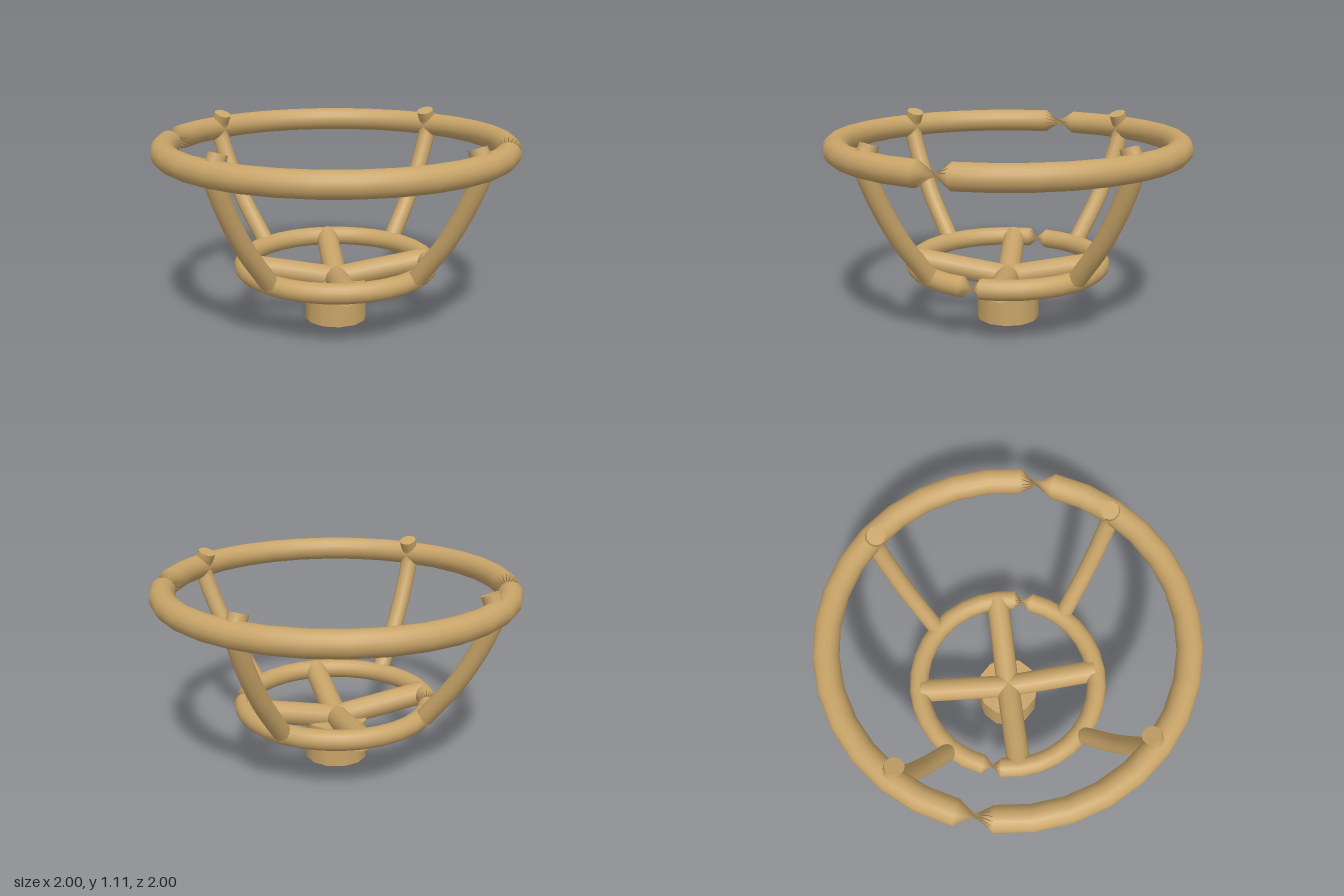
import * as THREE from 'three';

const material = new THREE.MeshStandardMaterial({ color: 0xc8a468, side: THREE.DoubleSide });
const V = (x, y, z) => new THREE.Vector3(x, y, z);

function add(parent, name, geometry) {
  const mesh = new THREE.Mesh(geometry, material);
  mesh.name = name;
  parent.add(mesh);
  return mesh;
}

// Ring of round cross-sections; the section makes a half turn at two opposite
// segments, which pinches the tube there.
function twistedRing(radius, tube, y) {
  const steps = 32, sides = 16;
  const pos = [], nor = [], index = [];
  for (let i = 0; i <= steps; i++) {
    const a = (i / steps) * Math.PI * 2;
    const turn = i >= 18 ? 2 * Math.PI : i >= 2 ? Math.PI : 0;
    for (let j = 0; j <= sides; j++) {
      const b = (j / sides) * Math.PI * 2 + turn;
      const n = V(Math.cos(b) * Math.cos(a), Math.sin(b), Math.cos(b) * Math.sin(a));
      nor.push(n.x, n.y, n.z);
      pos.push(radius * Math.cos(a) + n.x * tube, y + n.y * tube, radius * Math.sin(a) + n.z * tube);
      if (i < steps && j < sides) {
        const p = i * (sides + 1) + j, q = p + sides + 1;
        index.push(p, p + 1, q, p + 1, q + 1, q);
      }
    }
  }
  const g = new THREE.BufferGeometry();
  g.setAttribute('position', new THREE.Float32BufferAttribute(pos, 3));
  g.setAttribute('normal', new THREE.Float32BufferAttribute(nor, 3));
  g.setIndex(index);
  return g;
}

// Closing disc at one end of a strut
function addCap(parent, center, direction, radius) {
  const cap = add(parent, 'strutEnd', new THREE.CircleGeometry(radius, 12));
  cap.position.copy(center);
  cap.quaternion.setFromUnitVectors(V(0, 0, 1), direction);
}

export function createModel() {
  const model = new THREE.Group();
  model.name = 'ringStand';

  // Rings
  add(model, 'upperRing', twistedRing(0.932, 0.068, 1.0));
  add(model, 'lowerRing', twistedRing(0.52, 0.055, 0.33));

  // Hub
  add(model, 'hub', new THREE.CylinderGeometry(0.177, 0.177, 0.23, 12)).position.y = 0.115;

  // Four spokes rising from the hub to the lower ring
  const inner = V(0, 0.235, 0), outer = V(0.52, 0.328, 0);
  const along = outer.clone().sub(inner);
  for (let i = 0; i < 4; i++) {
    const arm = new THREE.Group();
    arm.name = 'spokeArm';
    arm.rotation.y = (i * Math.PI) / 2;
    const spoke = add(arm, 'spoke', new THREE.CylinderGeometry(0.066, 0.066, along.length(), 12));
    spoke.position.copy(inner).add(outer).multiplyScalar(0.5);
    spoke.quaternion.setFromUnitVectors(V(0, 1, 0), along.clone().normalize());
    model.add(arm);
  }

  // Four bowed struts that hook inwards over the upper ring
  const path = new THREE.CatmullRomCurve3([
    V(0.55, 0.35, 0), V(0.735, 0.6, 0), V(0.88, 0.88, 0), V(0.915, 1.0, 0), V(0.88, 1.09, 0),
  ]);
  for (let i = 0; i < 4; i++) {
    const strut = new THREE.Group();
    strut.name = 'strut';
    strut.rotation.y = Math.PI / 4 + (i * Math.PI) / 2;
    add(strut, 'strutTube', new THREE.TubeGeometry(path, 20, 0.05, 12));
    addCap(strut, path.getPointAt(0), path.getTangentAt(0).negate(), 0.05);
    addCap(strut, path.getPointAt(1), path.getTangentAt(1), 0.05);
    model.add(strut);
  }
  return model;
}
